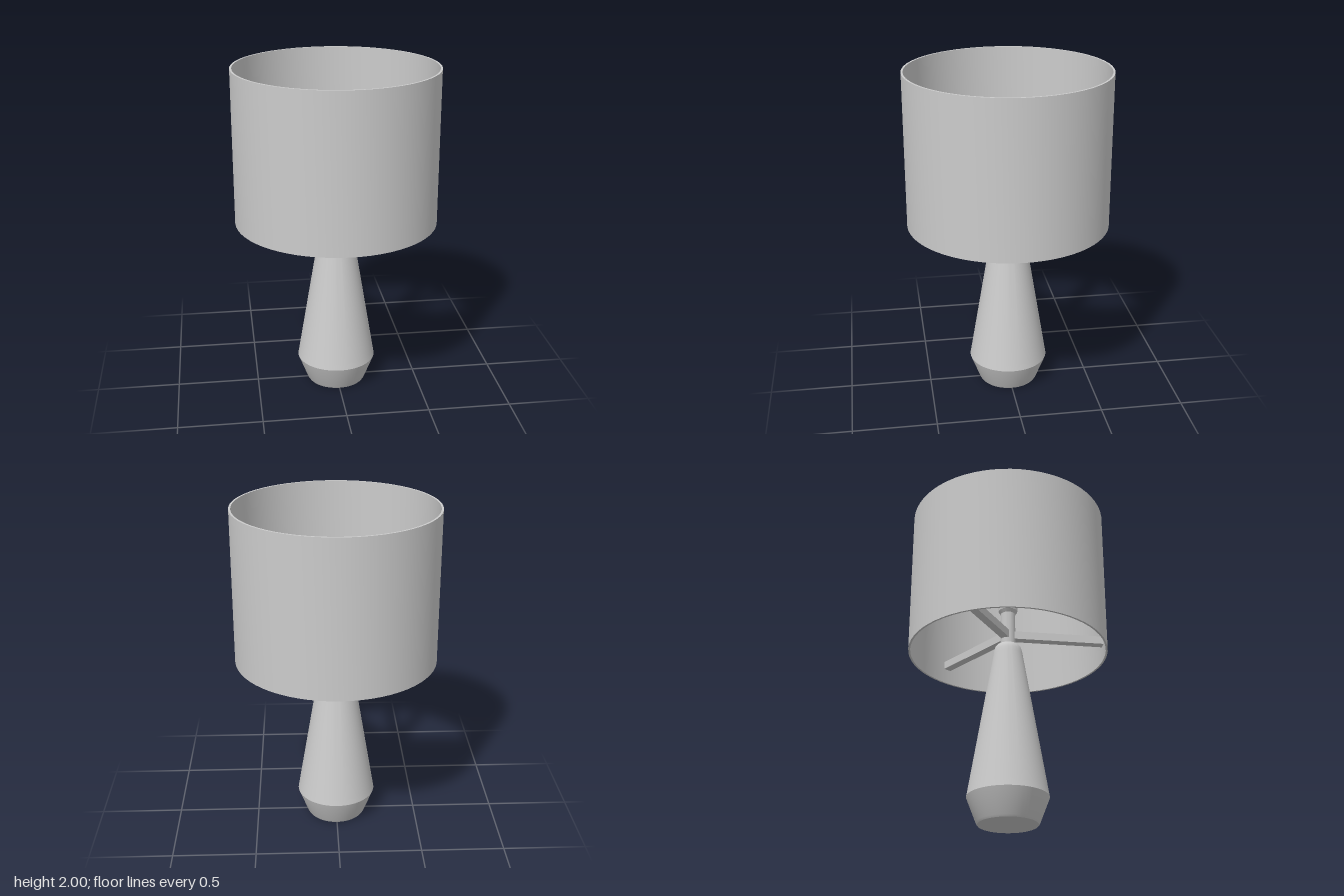
import * as THREE from 'three';
import { toCreasedNormals } from 'three/addons/utils/BufferGeometryUtils.js';

const material = new THREE.MeshStandardMaterial({ color: 0xcccccc });

function mesh(geometry, name) {
  const m = new THREE.Mesh(geometry, material);
  m.name = name;
  return m;
}

// Revolved solid from [radius, height] pairs, listed from bottom to top
function turned(profile, name, segments = 64) {
  const points = profile.map(([r, y]) => new THREE.Vector2(r, y));
  return mesh(toCreasedNormals(new THREE.LatheGeometry(points, segments), 0.35), name);
}

// U-shaped fluorescent tube: two legs joined by a half circle
function bulbTube() {
  const r = 0.027, bottom = 1.4, bend = 1.7;
  const path = new THREE.CurvePath();
  const v = (x, y) => new THREE.Vector3(x, y, 0);
  path.add(new THREE.LineCurve3(v(-r, bottom), v(-r, bend)));
  const k = r * 0.5523;
  path.add(new THREE.CubicBezierCurve3(v(-r, bend), v(-r, bend + k), v(-k, bend + r), v(0, bend + r)));
  path.add(new THREE.CubicBezierCurve3(v(0, bend + r), v(k, bend + r), v(r, bend + k), v(r, bend)));
  path.add(new THREE.LineCurve3(v(r, bend), v(r, bottom)));
  return mesh(new THREE.TubeGeometry(path, 96, 0.013, 12), 'bulbTube');
}

export function createModel() {
  const lamp = new THREE.Group();
  lamp.name = 'tableLamp';

  // Tapered body with a narrowed foot and a rounded neck
  lamp.add(turned([
    [0, 0], [0.175, 0], [0.183, 0.012], [0.24, 0.16], [0.233, 0.2],
    [0.09, 1.06], [0.086, 1.085], [0.08, 1.105], [0.07, 1.12], [0.055, 1.126], [0, 1.126],
  ], 'body'));

  // Slim socket and the wider bulb base above it
  lamp.add(turned([[0.045, 1.12], [0.045, 1.35]], 'socket', 32));
  lamp.add(turned([
    [0, 1.34], [0.045, 1.34], [0.058, 1.36], [0.058, 1.41], [0.05, 1.425], [0, 1.425],
  ], 'bulbBase', 32));

  // Three bent tubes arranged in a triangle
  const bulb = new THREE.Group();
  bulb.name = 'bulb';
  for (let i = 0; i < 3; i++) {
    const tube = bulbTube();
    const a = (i * Math.PI * 2) / 3;
    tube.position.set(Math.sin(a) * 0.03, 0, Math.cos(a) * 0.03);
    tube.rotation.y = a;
    bulb.add(tube);
  }
  lamp.add(bulb);

  // Thin drum shade, open at both ends
  lamp.add(turned([
    [0.595, 1.07], [0.607, 1.07], [0.607, 2], [0.595, 2], [0.595, 1.07],
  ], 'shade'));

  // Arms carrying the shade: one to the front, two toward the back
  const spread = THREE.MathUtils.degToRad(124.5);
  for (const a of [0, spread, -spread]) {
    const bar = new THREE.BoxGeometry(0.05, 0.05, 0.57);
    bar.translate(0, 1.19, 0.315);
    const arm = mesh(bar, 'shadeArm');
    arm.rotation.y = a;
    lamp.add(arm);
  }

  return lamp;
}
